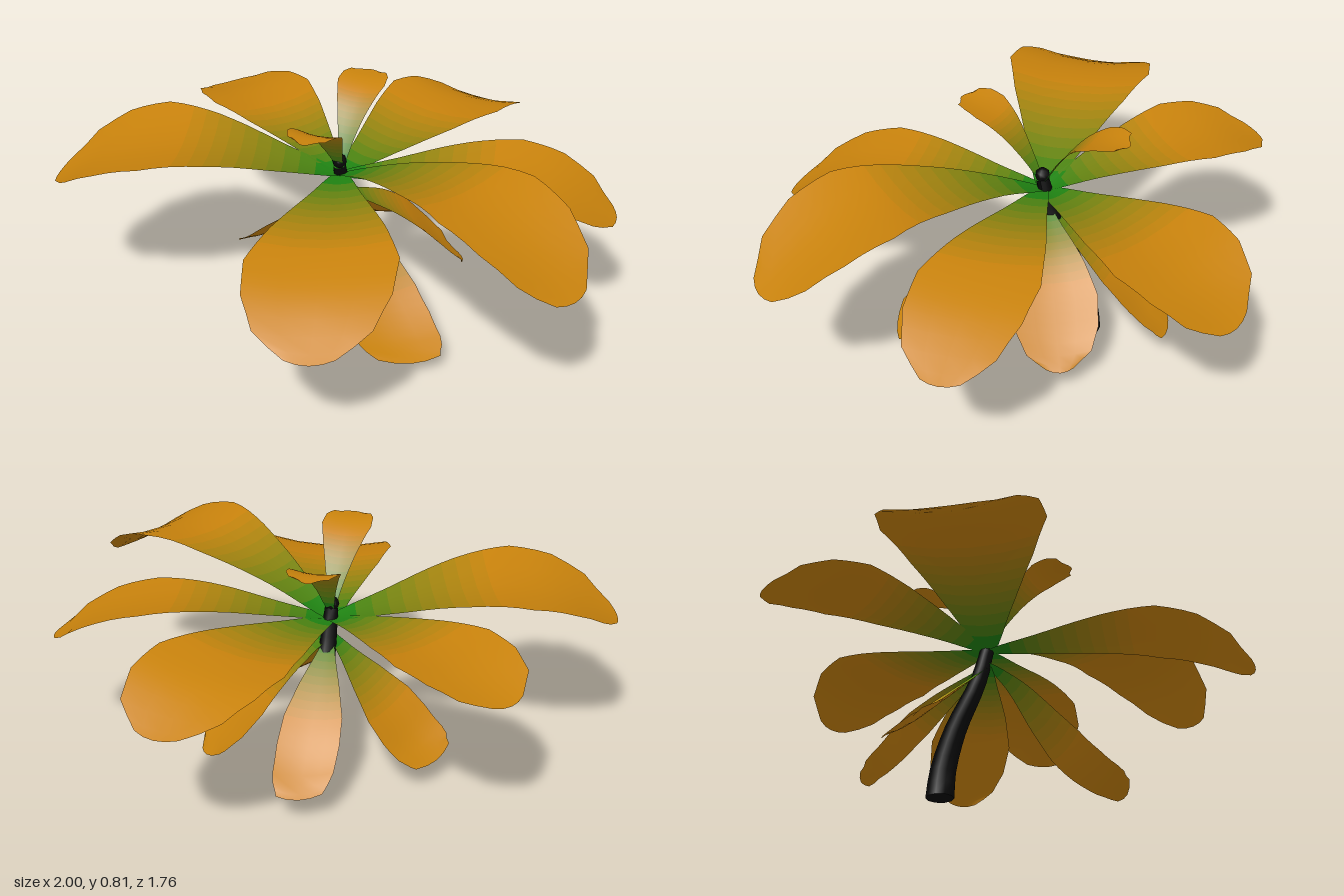
import * as THREE from 'three';

const GREEN = new THREE.Color(0x1f8212), ORANGE = new THREE.Color(0xc8820c);
const ROWS = 20, COLS = 4;
const BANDS = [0, 2, 3, 4, 5, 6, 7, 8, 9, 10, 11, ROWS]; // row ranges, one colour step each

// Half-width of the blade along its length, as [t, fraction of the maximum]
const BROAD = [[0, 0.08], [0.12, 0.26], [0.25, 0.46], [0.45, 0.76], [0.65, 1], [0.8, 0.95], [0.9, 0.75], [1, 0.32]];
const BLUNT = [[0, 0.08], [0.15, 0.3], [0.35, 0.65], [0.55, 0.95], [0.7, 1], [0.85, 0.95], [1, 0.7]];

function lookup(table, t) {
  const i = Math.max(1, table.findIndex((p) => p[0] >= t - 1e-6));
  const [a, b] = [table[i - 1], table[i]];
  return THREE.MathUtils.lerp(a[1], b[1], (t - a[0]) / (b[0] - a[0]));
}

// A cupped, arching blade. heights are evenly spaced from the root to the tip;
// roll lifts one edge, skew pushes one corner of the tip further out.
function makeLeaf({ name, tip, heights, width, shape = BROAD, cup = 0.13, roll = 0, skew = 0 }) {
  const root = new THREE.Vector2(0.015, -0.07);
  const dir = new THREE.Vector2(...tip).sub(root);
  const length = dir.length();
  dir.normalize();
  const spine = new THREE.SplineCurve(
    heights.map((y, i) => new THREE.Vector2(length * i / (heights.length - 1), y)));

  const positions = [];
  for (let r = 0; r <= ROWS; r++) {
    const t = r / ROWS, p = spine.getPoint(t);
    const half = width / 2 * lookup(shape, t);
    for (let c = 0; c <= COLS; c++) {
      const s = c / COLS * 2 - 1, w = s * half;
      // the middle of the end runs a little further out than its corners
      const d = p.x - (t > 0.9 ? 0.015 * s * s : 0) + skew * w * t * t;
      positions.push(
        root.x + dir.x * d - dir.y * w,
        p.y + cup * half * (s * s - 0.4) + roll * w,
        root.y + dir.y * d + dir.x * w);
    }
  }
  const index = [];
  for (let r = 0; r < ROWS; r++) {
    for (let c = 0; c < COLS; c++) {
      const a = r * (COLS + 1) + c, b = a + COLS + 1;
      index.push(a, a + 1, b, a + 1, b + 1, b);
    }
  }
  const full = new THREE.BufferGeometry();
  full.setAttribute('position', new THREE.Float32BufferAttribute(positions, 3));
  full.setIndex(index);
  full.computeVertexNormals();

  // Bands share the smooth normals and fade from green to orange
  const leaf = new THREE.Group();
  leaf.name = name;
  const perRow = COLS * 6;
  for (let i = 0; i < BANDS.length - 1; i++) {
    const part = new THREE.BufferGeometry();
    part.setAttribute('position', full.getAttribute('position'));
    part.setAttribute('normal', full.getAttribute('normal'));
    part.setIndex(index.slice(BANDS[i] * perRow, BANDS[i + 1] * perRow));
    const color = GREEN.clone().lerp(ORANGE, i / (BANDS.length - 2));
    const mesh = new THREE.Mesh(part, new THREE.MeshStandardMaterial({ color, side: THREE.DoubleSide }));
    mesh.name = `${name}Band${i + 1}`;
    leaf.add(mesh);
  }
  return leaf;
}

// Leaning stem that narrows towards the crown
function makeStem() {
  const group = new THREE.Group();
  group.name = 'stem';
  const material = new THREE.MeshStandardMaterial({ color: 0x080808 });
  const path = new THREE.CatmullRomCurve3([
    [0.07, 0, -0.26], [0.067, 0.1, -0.25], [0.05, 0.25, -0.2],
    [0.025, 0.42, -0.11], [0.012, 0.57, -0.065],
  ].map((p) => new THREE.Vector3(...p)));
  const rings = 12, sides = 10;
  const tube = new THREE.TubeGeometry(path, rings, 0.052, sides);
  const pos = tube.getAttribute('position'), v = new THREE.Vector3();
  for (let i = 0; i < pos.count; i++) {
    const ring = Math.floor(i / (sides + 1)), t = ring / rings, centre = path.getPointAt(t);
    v.fromBufferAttribute(pos, i).sub(centre).multiplyScalar(1 - 0.55 * t).add(centre);
    pos.setXYZ(i, v.x, ring === 0 ? 0 : v.y, v.z);
  }
  tube.computeVertexNormals();
  const trunk = new THREE.Mesh(tube, material);
  trunk.name = 'trunk';

  const base = new THREE.Mesh(new THREE.CircleGeometry(0.052, sides), material);
  base.name = 'trunkBase';
  base.rotation.x = Math.PI / 2;
  base.position.set(0.07, 0, -0.26);

  const bud = new THREE.Mesh(new THREE.SphereGeometry(0.027, 8, 6), material);
  bud.name = 'bud';
  bud.position.set(0.012, 0.585, -0.065);
  group.add(trunk, base, bud);
  return group;
}

export function createModel() {
  const model = new THREE.Group();
  model.name = 'plant';
  model.add(makeStem());

  const leaves = [
    // broad spreading crown
    { name: 'leftLeaf', tip: [1, -0.09], width: 0.41, cup: 0.08, roll: -0.1, heights: [0.53, 0.56, 0.59, 0.595, 0.555, 0.45] },
    { name: 'frontLeftLeaf', tip: [0.87, 0.58], width: 0.45, heights: [0.53, 0.62, 0.68, 0.71, 0.66, 0.52] },
    { name: 'frontLeaf', tip: [0.1, 0.88], width: 0.5, roll: -0.08, heights: [0.53, 0.54, 0.55, 0.545, 0.5, 0.39] },
    { name: 'rightLeaf', tip: [-1, 0.07], width: 0.55, skew: -0.1, heights: [0.53, 0.58, 0.63, 0.65, 0.615, 0.51] },
    { name: 'backRightLeaf', tip: [-0.58, -0.7], width: 0.41, heights: [0.53, 0.57, 0.6, 0.62, 0.61, 0.56] },
    { name: 'backLeftLeaf', tip: [0.49, -0.87], width: 0.47, skew: 0.2, heights: [0.53, 0.56, 0.59, 0.61, 0.59, 0.5] },
    // small upright pair
    { name: 'uprightBackLeaf', tip: [0.07, -0.39], width: 0.18, heights: [0.55, 0.66, 0.74, 0.785, 0.805, 0.805] },
    { name: 'uprightFrontLeaf', tip: [-0.05, 0.26], width: 0.18, heights: [0.55, 0.65, 0.73, 0.78, 0.805, 0.805] },
    // drooping lower leaves
    { name: 'lowerFrontLeaf', tip: [0.35, 0.37], width: 0.3, shape: BLUNT, roll: 0.03, skew: -0.3, heights: [0.48, 0.4, 0.28, 0.17, 0.1, 0.06] },
    { name: 'lowerLeftLeaf', tip: [0.45, -0.29], width: 0.3, heights: [0.47, 0.425, 0.375, 0.3, 0.2, 0.1] },
    { name: 'lowerRightLeaf', tip: [-0.37, -0.29], width: 0.26, shape: BLUNT, roll: -0.12, skew: -0.15, heights: [0.47, 0.39, 0.31, 0.23, 0.15, 0.1] },
    { name: 'lowerBackLeaf', tip: [0.09, -0.57], width: 0.21, shape: BLUNT, skew: 0.3, heights: [0.47, 0.41, 0.34, 0.26, 0.17, 0.1] },
  ];
  leaves.forEach((spec) => model.add(makeLeaf(spec)));
  return model;
}
